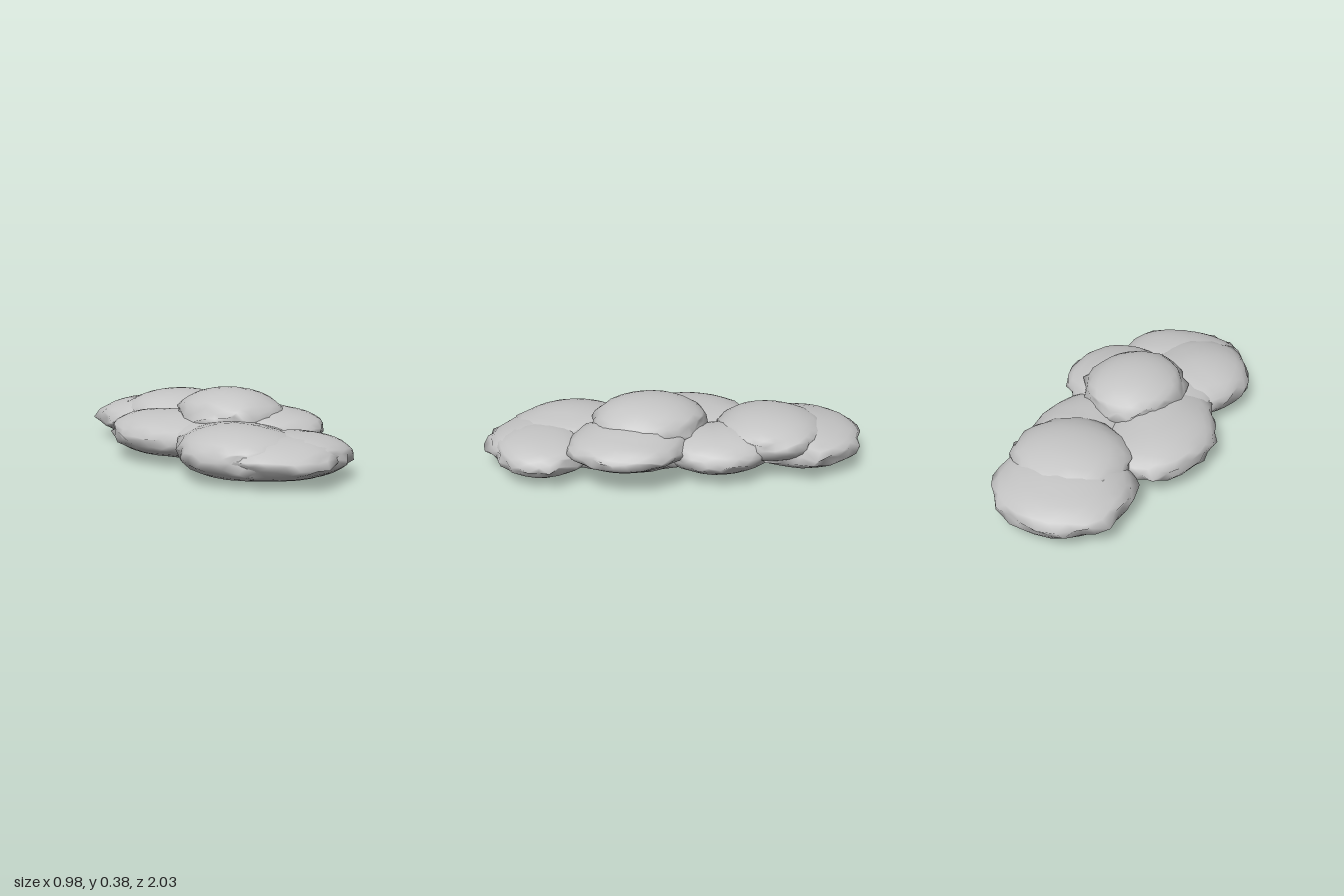
import * as THREE from 'three';
import { mergeVertices } from 'three/addons/utils/BufferGeometryUtils.js';

// name, centre, radii
const PUFFS = [
  ['backPuff', [0.05, 0.13, -0.665], [0.35, 0.117, 0.335]],
  ['upperBackPuff', [0.1, 0.195, -0.49], [0.3, 0.11, 0.27]],
  ['backLeftPuff', [0.2, 0.14, -0.2], [0.23, 0.107, 0.27]],
  ['middleRightPuff', [-0.22, 0.142, -0.07], [0.27, 0.116, 0.37]],
  ['corePuff', [0.0, 0.13, 0.24], [0.35, 0.12, 0.38]],
  ['crownPuff', [0.04, 0.25, 0.14], [0.265, 0.134, 0.3]],
  ['middleLeftPuff', [0.21, 0.19, 0.27], [0.275, 0.095, 0.3]],
  ['frontRightPuff', [-0.18, 0.135, 0.54], [0.28, 0.128, 0.32]],
  ['frontBase', [-0.06, 0.12, 0.68], [0.29, 0.1, 0.315]],
  ['frontPuff', [0.07, 0.123, 0.7], [0.27, 0.103, 0.24]],
];
const BLEND = 0.03;

// Small seeded generator for the ragged rims
function seeded(seed) {
  let s = seed * 7919 + 17;
  return () => {
    s = (Math.imul(s, 1664525) + 1013904223) >>> 0;
    return s / 4294967296;
  };
}

// Approximate distance to all puffs joined by soft creases
function cloudField(x, y, z) {
  let d = 1;
  for (const [, c, r] of PUFFS) {
    const e = (Math.hypot((x - c[0]) / r[0], (y - c[1]) / r[1], (z - c[2]) / r[2]) - 1) * r[1];
    const h = Math.max(BLEND - Math.abs(d - e), 0) / BLEND;
    d = Math.min(d, e) - h * h * BLEND * 0.25;
  }
  return d;
}

// Flattened ball, swelled a little into its neighbours, with a ragged rim
function puffGeometry(centre, radii, seed) {
  const rand = seeded(seed);
  for (let i = 0; i < 5; i++) rand();
  let g = new THREE.IcosahedronGeometry(1, 4);
  g.rotateX(seed * 1.3);
  g.deleteAttribute('normal');
  g.deleteAttribute('uv');
  g = mergeVertices(g, 1e-4);
  const p = g.attributes.position;
  const v = new THREE.Vector3();
  const scale = new THREE.Vector3(...radii);
  for (let i = 0; i < p.count; i++) {
    v.fromBufferAttribute(p, i);
    const rim = Math.pow(1 - Math.abs(v.y), 3);
    const spread = 1 + rim * 0.2 * (rand() - 0.5);
    const lift = rim * 0.4 * (rand() - 0.5);
    v.multiply(scale);

    // Fill the crease towards neighbouring puffs
    let swell = 1;
    for (let step = 0; step < 3; step++) {
      const d = cloudField(centre[0] + v.x * swell, centre[1] + v.y * swell, centre[2] + v.z * swell);
      swell = THREE.MathUtils.clamp(swell - d / radii[1], 1, 1.08);
    }
    const side = 1 + (swell - 1) * (1 - rim);
    p.setXYZ(i, v.x * spread * side, v.y * swell + lift * radii[1], v.z * spread * side);
  }
  g.computeVertexNormals();
  return g;
}

export function createModel() {
  const model = new THREE.Group();
  model.name = 'cloud';
  const cloudGrey = new THREE.MeshStandardMaterial({ color: 0xc4c4c4 });
  cloudGrey.name = 'cloud grey';

  PUFFS.forEach(([name, centre, radii], i) => {
    const mesh = new THREE.Mesh(puffGeometry(centre, radii, i + 1), cloudGrey);
    mesh.name = name;
    mesh.position.set(...centre);
    model.add(mesh);
  });
  return model;
}
